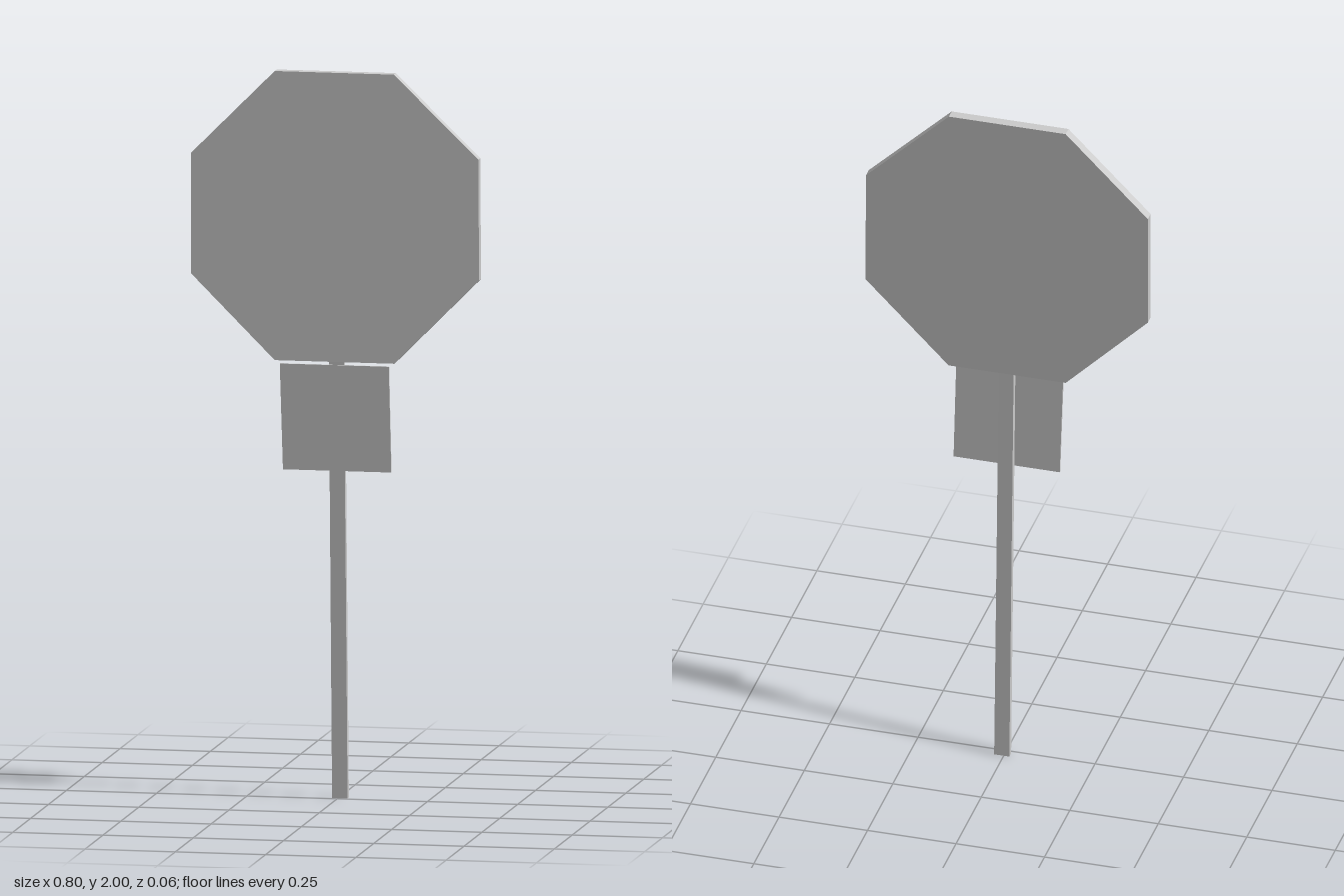
import * as THREE from 'three';

const material = new THREE.MeshStandardMaterial({ color: 0xcccccc, flatShading: true });

// Flat plate from an outline in x/y; lean is the z shift per unit of height
function plate(name, outline, back, depth, lean = 0) {
  const shape = new THREE.Shape(outline.map(([x, y]) => new THREE.Vector2(x, y)));
  const geometry = new THREE.ExtrudeGeometry(shape, { depth, bevelEnabled: false });
  const p = geometry.attributes.position;
  for (let i = 0; i < p.count; i++) p.setZ(i, p.getZ(i) + back + lean * p.getY(i));
  geometry.computeVertexNormals();
  const mesh = new THREE.Mesh(geometry, material);
  mesh.name = name;
  return mesh;
}

export function createModel() {
  const group = new THREE.Group();
  group.name = 'roadSign';
  const lean = 0.026;

  // Eight-sided board
  const board = [
    [-0.168, 1.205], [0.163, 1.205], [0.398, 1.441], [0.396, 1.773],
    [0.162, 2], [-0.168, 2], [-0.4, 1.768], [-0.4, 1.437],
  ];
  group.add(plate('octagonBoard', board, -0.003, 0.028));

  // Smaller plate below the board, slightly askew
  const panel = [[-0.146, 0.905], [0.154, 0.905], [0.149, 1.197], [-0.153, 1.197]];
  group.add(plate('lowerPanel', panel, -0.012, 0.006, lean + 0.004));

  // Post leaning gently forward towards the top
  const post = [[-0.016, 0], [0.027, 0], [0.023, 1.205], [-0.019, 1.205]];
  group.add(plate('post', post, -0.028, 0.018, lean));

  return group;
}
